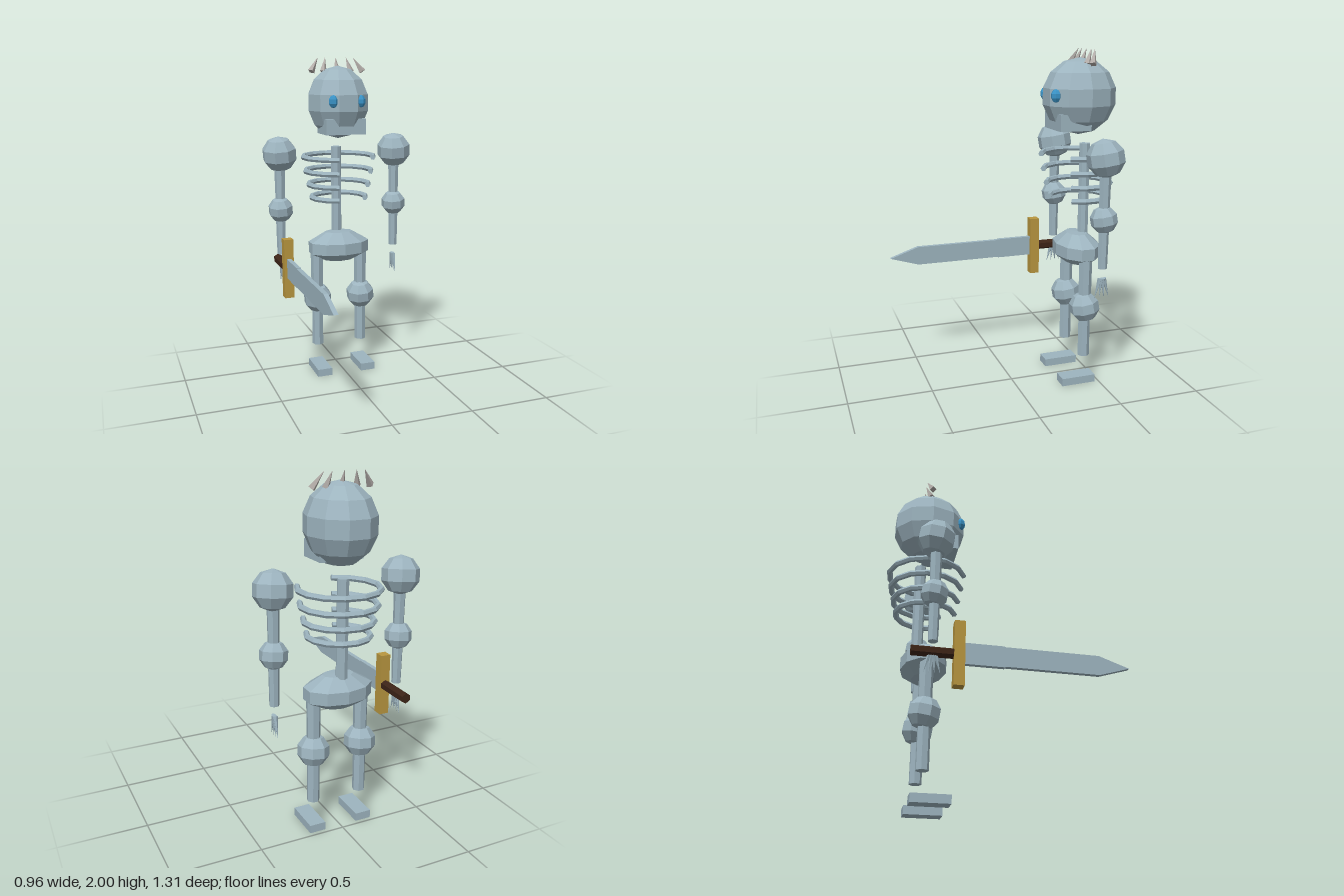
import * as THREE from 'three';

const mat = (name, color) => {
  const m = new THREE.MeshStandardMaterial({ color, flatShading: true });
  m.name = name;
  return m;
};

export function createModel() {
  const bone = mat('bone', 0x9db4bf);
  const blue = mat('eyeBlue', 0x3a94c8);
  const spike = mat('spikeGrey', 0xb2aca8);
  const gold = mat('guardGold', 0xb8963f);
  const brown = mat('gripBrown', 0x3d2417);

  const model = new THREE.Group();
  model.name = 'skeletonWarrior';
  const Z = -0.413; // depth of the body's axis

  const add = (name, geo, material, x = 0, y = 0, z = 0, parent = model) => {
    const mesh = new THREE.Mesh(geo, material);
    mesh.name = name;
    mesh.position.set(x, y, z);
    parent.add(mesh);
    return mesh;
  };
  const limb = (name, x, z, y0, y1, rTop, rBottom, sides = 7) =>
    add(name, new THREE.CylinderGeometry(rTop, rBottom, y1 - y0, sides), bone, x, (y0 + y1) / 2, z);
  const joint = (name, x, y, r) => {
    const m = add(name, new THREE.SphereGeometry(r, 8, 5), bone, x, y, Z);
    m.rotation.set(0.12, 0.3, 0.1);
    return m;
  };
  // Cone whose base sits at a and whose point reaches b
  const coneBetween = (name, a, b, r, sides, material) => {
    const d = b.clone().sub(a);
    const m = add(name, new THREE.ConeGeometry(r, d.length(), sides), material);
    m.position.copy(a).addScaledVector(d, 0.5);
    m.quaternion.setFromUnitVectors(new THREE.Vector3(0, 1, 0), d.normalize());
  };

  // Skull and jaw
  add('skull', new THREE.SphereGeometry(0.22, 10, 7), bone, 0, 1.725, Z).scale.x = 0.87;
  add('jaw', new THREE.BoxGeometry(0.25, 0.095, 0.19), bone, 0, 1.585, -0.345);

  // Spikes across the crown, tips leaning in and back
  [[-0.165, -0.113], [-0.088, -0.067], [0, 0], [0.088, 0.067], [0.165, 0.113]].forEach(([xb, xt]) =>
    coneBetween('crownSpike',
      new THREE.Vector3(xb, 1.91, -0.42), new THREE.Vector3(xt, 1.995, -0.452), 0.022, 4, spike));

  // Spine and open ribs
  limb('spine', 0, -0.455, 0.85, 1.45, 0.033, 0.033, 8);
  const arc = THREE.MathUtils.degToRad(288);
  [[1.39, 0.222], [1.302, 0.208], [1.217, 0.19], [1.135, 0.172]].forEach(([y, R]) => {
    const rib = new THREE.Group();
    rib.name = 'rib';
    rib.position.set(0.003, y, -0.417);
    rib.rotation.set(Math.PI / 2, 0, THREE.MathUtils.degToRad(107));
    model.add(rib);
    const r = 0.017;
    add('ribArc', new THREE.TorusGeometry(R, r, 6, 11, arc), bone, 0, 0, 0, rib);
    const cap = (angle, dir) => {
      const g = new THREE.CircleGeometry(r, 6).rotateX(dir * Math.PI / 2).translate(R, 0, 0).rotateZ(angle);
      add('ribEnd', g, bone, 0, 0, 0, rib);
    };
    cap(0, 1);
    cap(arc, -1);
  });

  // Pelvis: squashed, faceted bowl
  const pelvisProfile = [[0, 0.715], [0.1, 0.73], [0.198, 0.78], [0.198, 0.85], [0.09, 0.912], [0, 0.915]]
    .map(([x, y]) => new THREE.Vector2(x, y));
  add('pelvis', new THREE.LatheGeometry(pelvisProfile, 10), bone, 0, 0, Z).scale.z = 0.66;

  for (const s of [-1, 1]) {
    const side = s > 0 ? 'left' : 'right';

    // Eye
    add(side + 'Eye', new THREE.SphereGeometry(0.031, 7, 5), blue, s * 0.085, 1.737, -0.235).scale.y = 1.25;

    // Arm
    const ax = s * 0.376;
    joint(side + 'Shoulder', ax, 1.42, 0.109);
    limb(side + 'UpperArm', ax, Z, 1.1, 1.36, 0.034, 0.03);
    joint(side + 'Elbow', ax, 1.077, 0.079);
    limb(side + 'Forearm', ax, Z, 0.795, 1.05, 0.031, 0.027);

    // Splayed fingers, pointing down
    for (const f of [-1.5, -0.5, 0.5, 1.5])
      coneBetween(side + 'Finger',
        new THREE.Vector3(ax, 0.735, Z + f * 0.008),
        new THREE.Vector3(ax, 0.615, Z + f * 0.03), 0.014, 5, bone);

    // Leg and foot
    const lx = s * 0.146;
    limb(side + 'Thigh', lx, Z, 0.5, 0.8, 0.041, 0.038);
    joint(side + 'Knee', lx, 0.483, 0.093);
    limb(side + 'Shin', lx, Z, 0.172, 0.45, 0.036, 0.036);
    add(side + 'Foot', new THREE.BoxGeometry(0.094, 0.047, 0.212), bone, lx, 0.0235, -0.369);
  }

  // Sword held forward by the right hand
  const sx = -0.373;
  const t = 0.026;
  const outline = [[-0.28, 0.68], [-0.03, 0.68], [-0.03, 0.684], [0.49, 0.684], [0.66, 0.737],
    [0.49, 0.796], [-0.03, 0.796], [-0.03, 0.8], [-0.28, 0.8]];
  const shape = new THREE.Shape(outline.map(([z, y]) => new THREE.Vector2(-z, y)));
  const blade = new THREE.ExtrudeGeometry(shape, { depth: t, bevelEnabled: false })
    .translate(0, 0, -t / 2).rotateY(Math.PI / 2);
  add('swordBlade', blade, bone, sx, 0, 0);
  add('swordGuard', new THREE.BoxGeometry(0.058, 0.365, 0.058), gold, sx, 0.737, -0.274);
  add('swordGrip', new THREE.CylinderGeometry(0.03, 0.03, 0.23, 6).rotateX(Math.PI / 2), brown, sx, 0.737, -0.41);

  return model;
}
